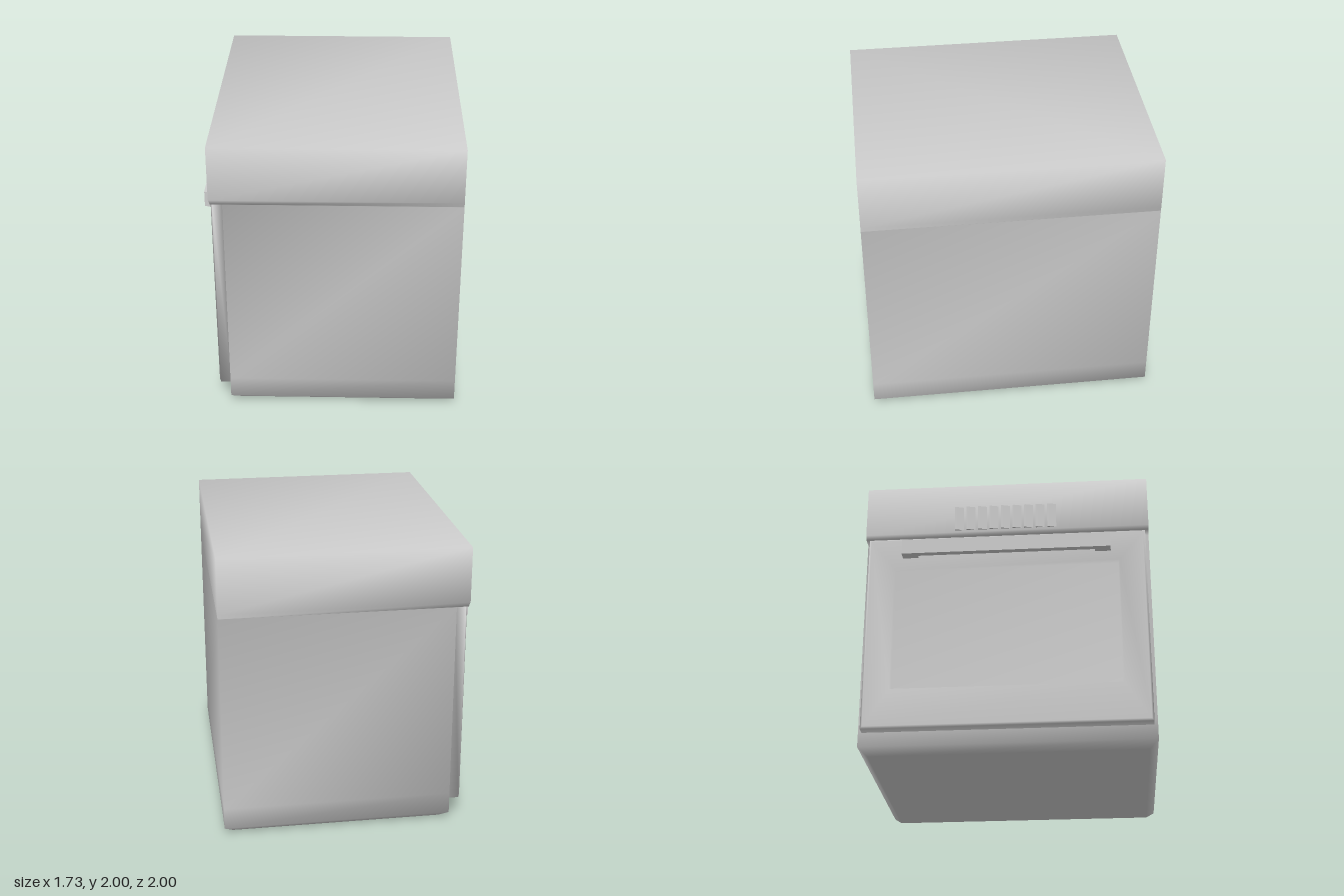
import * as THREE from 'three';

const material = new THREE.MeshStandardMaterial({ color: 0xcccccc });

function addMesh(parent, name, geometry) {
  const mesh = new THREE.Mesh(geometry, material);
  mesh.name = name;
  parent.add(mesh);
  return mesh;
}

// Smooth closed solid through a sequence of four-cornered rings.
function loft(rings) {
  const index = [];
  const last = (rings.length - 1) * 4;
  for (let i = 0; i < last; i += 4) {
    for (let j = 0; j < 4; j++) {
      const a = i + j, b = i + (j + 1) % 4;
      index.push(a, b, b + 4, a, b + 4, a + 4);
    }
  }
  index.push(0, 2, 1, 0, 3, 2, last, last + 1, last + 2, last, last + 2, last + 3);
  const geometry = new THREE.BufferGeometry();
  geometry.setAttribute('position', new THREE.Float32BufferAttribute(rings.flat(2), 3));
  geometry.setIndex(index);
  geometry.computeVertexNormals();
  return geometry;
}

// Horizontal ring for the body, and upright ring for the door.
const level = (y, x0, x1, z) => [[x0, y, z], [x1, y, z], [x1, y, -z], [x0, y, -z]];
const upright = (x, y0, y1, z) => [[x, y0, -z], [x, y0, z], [x, y1, z], [x, y1, -z]];

// Outline in plan (x, z), raised from y to y + height.
function planExtrude(points, y, height) {
  const shape = new THREE.Shape(points.map(([x, z]) => new THREE.Vector2(x, -z)));
  const geometry = new THREE.ExtrudeGeometry(shape, { depth: height, bevelEnabled: false });
  return geometry.rotateX(-Math.PI / 2).translate(0, y, 0);
}

export function createModel() {
  const oven = new THREE.Group();
  oven.name = 'oven';

  // Cabinet with a chamfered foot and overhanging control panel
  addMesh(oven, 'cabinet', loft([
    level(0, -0.66, 0.80, 0.94),
    level(0.05, -0.72, 0.86, 1),
    level(0.2, -0.72, 0.86, 1),
    level(1.59, -0.72, 0.86, 1),
    level(1.592, -0.80, 0.86, 1),
    level(1.62, -0.812, 0.86, 1),
    level(2, -0.812, 0.86, 1),
  ]));

  // Door frame stepping back to the window pane
  addMesh(oven, 'door', loft([
    upright(-0.715, 0.15, 1.59, 0.975),
    upright(-0.79, 0.15, 1.59, 0.975),
    upright(-0.80, 0.165, 1.575, 0.96),
    upright(-0.80, 0.43, 1.36, 0.79),
    upright(-0.765, 0.44, 1.35, 0.78),
  ]));

  // Handle bar with its two end brackets
  addMesh(oven, 'handle', planExtrude([
    [-0.795, -0.73], [-0.87, -0.73], [-0.87, 0.73], [-0.795, 0.73],
    [-0.795, 0.62], [-0.83, 0.62], [-0.83, -0.62], [-0.795, -0.62],
  ], 1.43, 0.11));

  // Row of upright vent louvres
  const vent = new THREE.Group();
  vent.name = 'vent';
  oven.add(vent);
  for (let i = 0; i < 9; i++) {
    const z = -0.365 + i * 0.082;
    addMesh(vent, 'louvre', planExtrude(
      [[-0.81, z], [-0.826, z], [-0.826, z + 0.012], [-0.81, z + 0.07]], 1.635, 0.185));
  }

  return oven;
}
